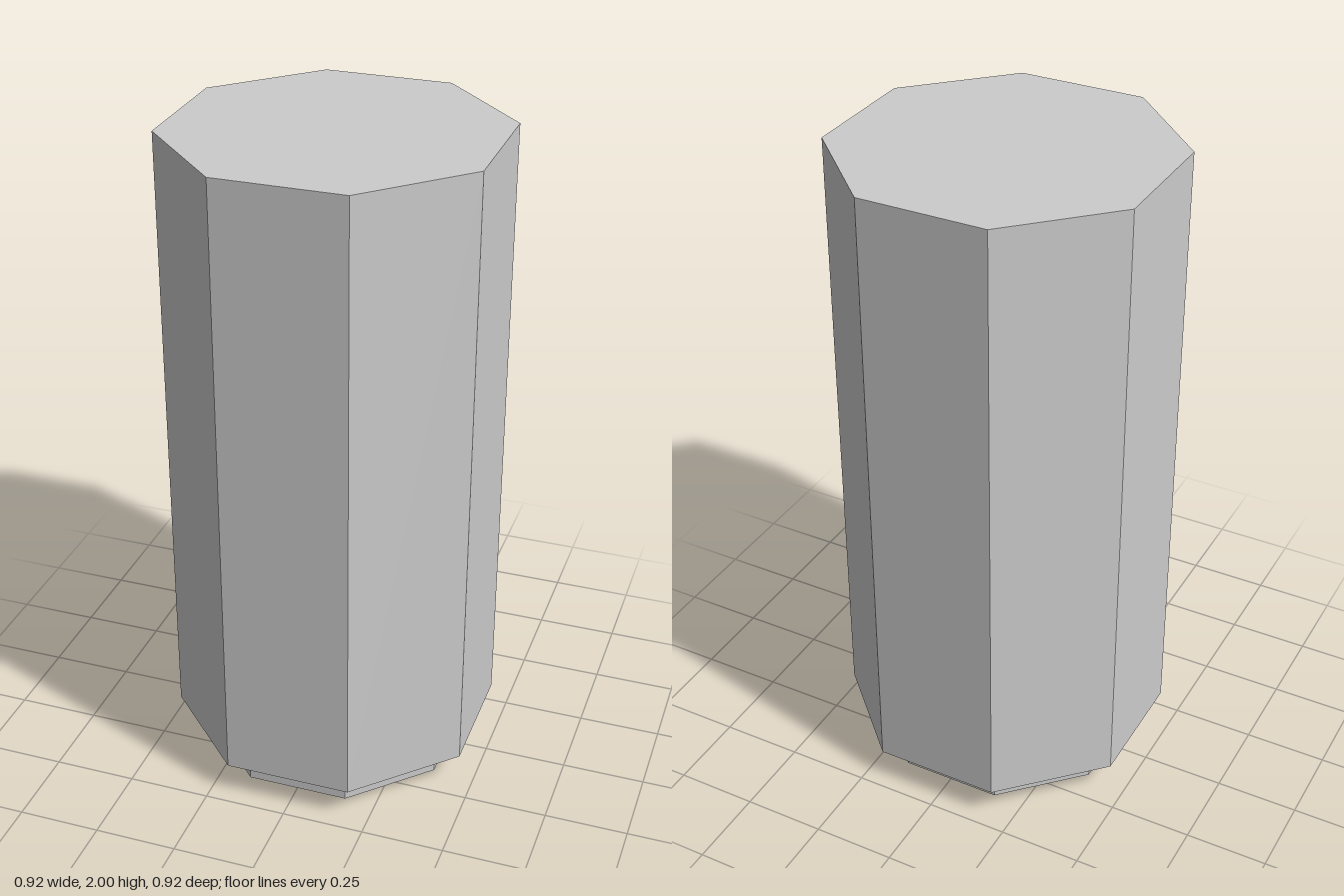
import * as THREE from 'three';

const SIDES = 8;

// Upright octagonal prism with a flat side facing the front
function prism(name, radius, bottom, top, material) {
  const geometry = new THREE.CylinderGeometry(radius, radius, top - bottom, SIDES);
  geometry.rotateY(Math.PI / SIDES);
  const mesh = new THREE.Mesh(geometry, material);
  mesh.name = name;
  mesh.position.y = (bottom + top) / 2;
  return mesh;
}

export function createModel() {
  const group = new THREE.Group();
  group.name = 'octagonalColumn';
  const material = new THREE.MeshStandardMaterial({ color: 0xcccccc, flatShading: true });

  // Narrow foot below, tall body above
  group.add(prism('foot', 0.404, 0, 0.105, material));
  group.add(prism('body', 0.5, 0.105, 2, material));
  return group;
}
